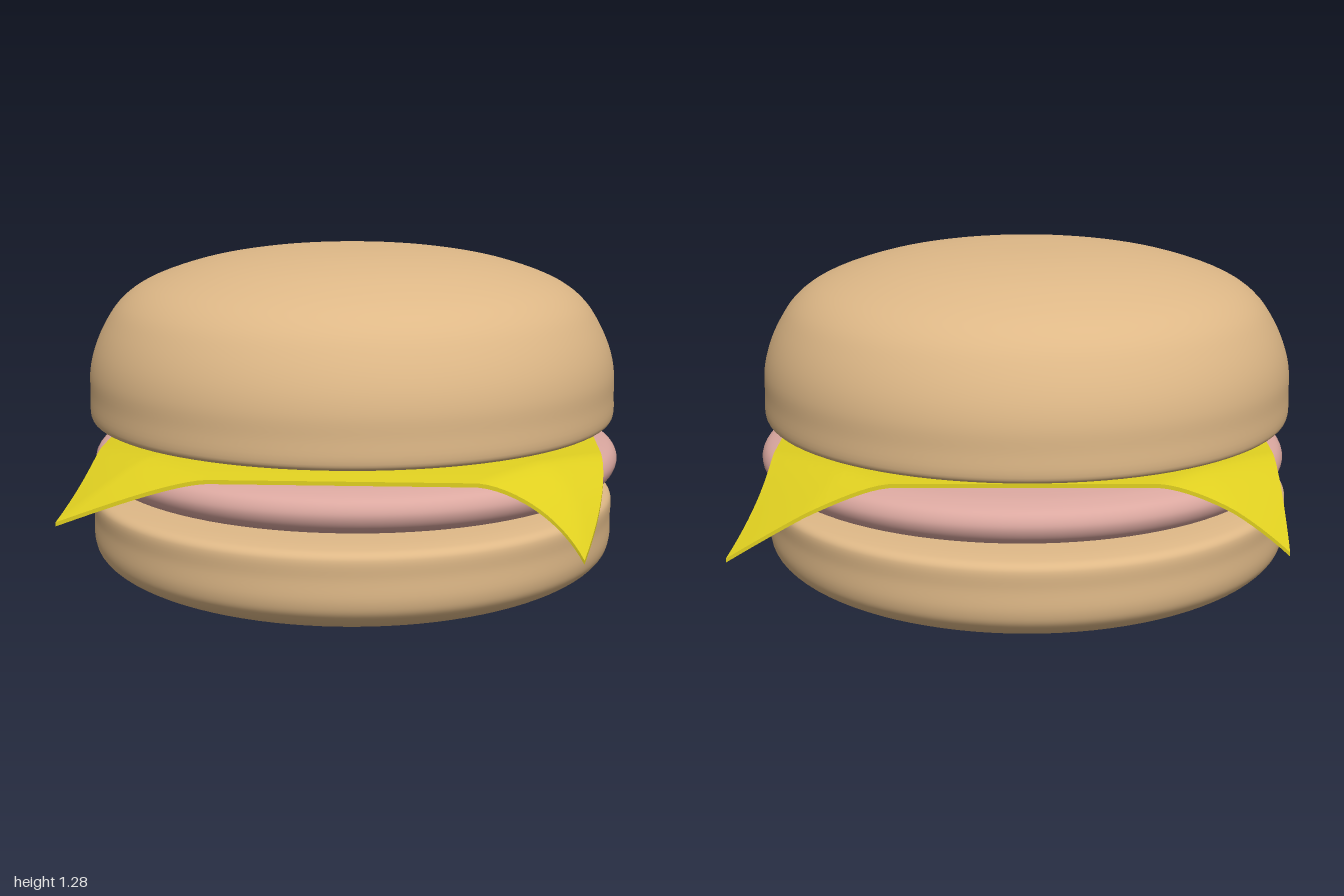
import * as THREE from 'three';

const BUN = 0xdeb887, CHEESE = 0xe0d020, MEAT = 0xdba8a0;

// Smooth round body turned from [radius, height] points, bottom to top
function turned(name, color, points, x) {
  const curve = new THREE.CatmullRomCurve3(points.map(([r, y]) => new THREE.Vector3(r, y, 0)));
  const profile = curve.getPoints(72).map((p) => new THREE.Vector2(Math.max(p.x, 0), p.y));
  const mesh = new THREE.Mesh(
    new THREE.LatheGeometry(profile, 96),
    new THREE.MeshStandardMaterial({ color })
  );
  mesh.name = name;
  mesh.position.x = x;
  return mesh;
}

// Thin square slice whose four corners melt down, each by its own amount
function cheeseSlice() {
  const geo = new THREE.BoxGeometry(2, 0.014, 2, 56, 1, 56);
  const pos = geo.attributes.position;
  // Tip position of each corner, keyed by the signs of x and z
  const tips = {
    '1,1': [0.79, 0.36, 0.985],
    '-1,1': [-0.96, 0.43, 0.87],
    '1,-1': [0.995, 0.35, -0.865],
    '-1,-1': [-0.88, 0.39, -0.92],
  };
  for (let i = 0; i < pos.count; i++) {
    const u = pos.getX(i), v = pos.getZ(i), h = pos.getY(i);
    const a = Math.abs(u), b = Math.abs(v);
    // The rim sags a little, less along the back
    const sagX = 0.03 * Math.max(0, (a - 0.55) / 0.45) ** 2;
    const sagZ = (v > 0 ? 0.03 : 0.008) * Math.max(0, (b - 0.55) / 0.45) ** 2;
    const x = u * 0.89, z = v * 0.885 + 0.013 * b;
    const y = 0.617 - Math.max(sagX, sagZ);
    // Corner weight: zero on the flat middle, one at the tip
    const s = Math.max(0, (a + b - 1.5) / 0.5);
    const [tx, ty, tz] = tips[`${u < 0 ? -1 : 1},${v < 0 ? -1 : 1}`];
    const edgeX = Math.sign(u) * 0.89, edgeZ = v < 0 ? -0.872 : 0.898;
    pos.setXYZ(
      i,
      x + (tx - edgeX) * s ** 2.4,
      y + (ty - 0.59) * s ** 1.5 + h,
      z + (tz - edgeZ) * s ** 2.4
    );
  }
  geo.computeVertexNormals();
  const mesh = new THREE.Mesh(
    geo,
    new THREE.MeshStandardMaterial({ color: CHEESE, side: THREE.DoubleSide })
  );
  mesh.name = 'cheeseSlice';
  return mesh;
}

export function createModel() {
  const group = new THREE.Group();
  group.name = 'burger';

  group.add(turned('bottomBun', BUN, [
    [0, 0], [0.3, 0.008], [0.6, 0.03], [0.8, 0.062], [0.92, 0.11], [0.97, 0.155], [0.985, 0.2],
    [0.985, 0.28], [0.985, 0.35], [0.97, 0.368], [0.93, 0.378], [0.8, 0.386], [0.4, 0.39], [0, 0.39],
  ], -0.013));

  group.add(turned('patty', MEAT, [
    [0, 0.398], [0.5, 0.4], [0.8, 0.405], [0.91, 0.422], [0.97, 0.455], [0.988, 0.5],
    [0.97, 0.54], [0.91, 0.565], [0.8, 0.578], [0.5, 0.59], [0, 0.595],
  ], 0.003));

  group.add(cheeseSlice());

  group.add(turned('topBun', BUN, [
    [0, 0.625], [0.5, 0.626], [0.8, 0.631], [0.93, 0.64], [0.975, 0.652], [0.985, 0.67],
    [0.985, 0.75], [0.983, 0.83], [0.965, 0.91], [0.925, 1.0], [0.87, 1.08], [0.785, 1.145],
    [0.6, 1.215], [0.4, 1.255], [0.2, 1.273], [0, 1.277],
  ], -0.013));

  return group;
}
